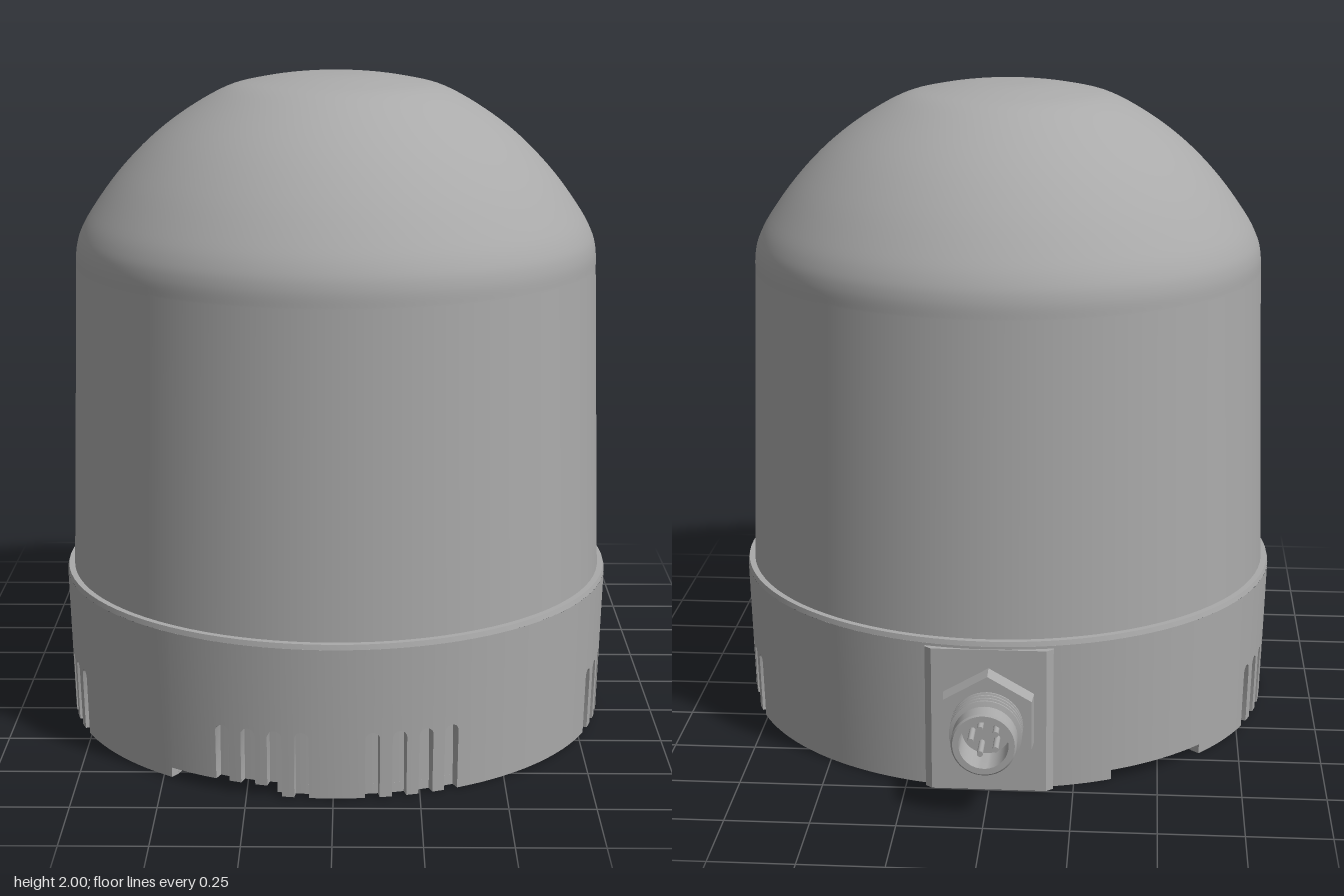
import * as THREE from 'three';
import { toCreasedNormals } from 'three/addons/utils/BufferGeometryUtils.js';

const RAD = Math.PI / 180;
const V2 = (list) => list.map(([x, y]) => new THREE.Vector2(x, y));
const wallRadius = (y) => 0.838 + 0.03 * y;
const INNER = 0.81, FLOOR = 0.03, RIM_Y = 0.455;
const TABS = [-7, 113, 233], TAB_HALF = 11.5;

// Vent slots: two sets of four on the front and both sides
const SLOT_HALF = 1.45;
const slots = [];
for (const side of [0, 90, 180])
  for (const start of [-22.4, 7.7])
    for (let i = 0; i < 4; i++) slots.push(side - start - i * 5.4);

const angleGap = (a, b) => ((a - b + 540) % 360 + 360) % 360 - 180;

// Height of the wall's lower edge at an angle
function lowerEdge(a) {
  let y = TABS.some((t) => Math.abs(angleGap(a, t)) <= TAB_HALF) ? FLOOR : 0;
  for (const s of slots) {
    const u = angleGap(a, s) / SLOT_HALF;
    if (Math.abs(u) <= 1) y = 0.18 + 0.021 * Math.sqrt(1 - u * u);
  }
  return y;
}

// Base wall with open slots and mounting notches, as columns around the axis
function skirtGeometry() {
  const angles = [];
  for (let a = 0; a < 360; a += 2) angles.push(a);
  for (const s of slots) {
    angles.push(s - SLOT_HALF - 0.01, s + SLOT_HALF + 0.01);
    for (let i = 0; i <= 10; i++) angles.push(s - SLOT_HALF * 0.9999 * Math.cos(i * Math.PI / 10));
  }
  for (const t of TABS)
    for (const e of [-1, 1]) angles.push(t + e * (TAB_HALF - 0.005), t + e * (TAB_HALF + 0.005));
  const cols = angles.map((a) => (a + 360) % 360).sort((p, q) => p - q).map((a) => {
    const y = lowerEdge(a), c = Math.cos(a * RAD), s = Math.sin(a * RAD);
    const at = (r, h) => [r * c, h, r * s];
    return { inner: at(INNER, y), low: at(wallRadius(y), y), top: at(wallRadius(RIM_Y), RIM_Y) };
  });
  const pos = [];
  const quad = (a, b, c, d) => pos.push(...a, ...b, ...c, ...a, ...c, ...d);
  cols.forEach((p, i) => {
    const q = cols[(i + 1) % cols.length];
    quad(p.low, p.top, q.top, q.low);
    quad(p.inner, p.low, q.low, q.inner);
  });
  const g = new THREE.BufferGeometry();
  g.setAttribute('position', new THREE.Float32BufferAttribute(pos, 3));
  return toCreasedNormals(g, 0.5);
}

// Underside plate with notches and recesses
function bottomGeometry() {
  const shape = new THREE.Shape();
  TABS.forEach((t, i) => {
    const c = Math.cos(t * RAD), s = Math.sin(t * RAD);
    const at = (r, w) => [r * c - w * s, r * s + w * c];
    const edge = INNER * Math.sin(TAB_HALF * RAD), r0 = INNER * Math.cos(TAB_HALF * RAD);
    if (i === 0) shape.moveTo(...at(r0, -edge));
    shape.lineTo(...at(0.71, -edge));
    shape.lineTo(...at(0.66, -edge + 0.05));
    shape.lineTo(...at(0.66, edge - 0.05));
    shape.lineTo(...at(0.71, edge));
    shape.absarc(0, 0, INNER, (t + TAB_HALF) * RAD, (t + 120 - TAB_HALF) * RAD, false);
  });
  for (const [x, z, r] of [[0, 0, 0.11], [0.45, -0.16, 0.03], [-0.14, 0.5, 0.03]])
    shape.holes.push(new THREE.Path().absarc(x, z, r, 0, Math.PI * 2, true));
  const cut = (points, x, z, turn) => shape.holes.push(new THREE.Path(
    V2(points).map((p) => p.rotateAround(new THREE.Vector2(), turn).add(new THREE.Vector2(x, z)))));
  // rectangular pocket
  cut([[-0.19, -0.14], [0.19, -0.14], [0.19, 0.14], [-0.19, 0.14]], 0.22, 0.42, -0.35);
  // crossed grooves
  const t = 0.5, w = 0.017, L = 0.18, c = Math.cos(t), s = Math.sin(t);
  const half = [[w / s, 0], [L * c + w * s, L * s - w * c], [L * c - w * s, L * s + w * c],
    [0, w / c], [-L * c + w * s, L * s + w * c], [-L * c - w * s, L * s - w * c]];
  cut([...half, ...half.map(([x, y]) => [-x, -y])], -0.57, 0.08, 0);
  return new THREE.ExtrudeGeometry(shape, { depth: FLOOR, bevelEnabled: false, curveSegments: 40 })
    .rotateX(Math.PI / 2).translate(0, FLOOR, 0);
}

export function createModel() {
  const model = new THREE.Group();
  model.name = 'domedSensor';
  const grey = new THREE.MeshStandardMaterial({ color: 0xaaaaaa });
  grey.name = 'grey';
  const add = (parent, name, geometry, x = 0, y = 0, z = 0) => {
    const mesh = new THREE.Mesh(geometry, grey);
    mesh.name = name;
    mesh.position.set(x, y, z);
    parent.add(mesh);
    return mesh;
  };

  const body = new THREE.Group();
  body.name = 'body';
  body.position.z = 0.1;
  model.add(body);

  // Domed cover: tapered wall and rounded cap
  const cap = new THREE.SplineCurve(V2([[0.80, 1.42], [0.798, 1.47], [0.785, 1.52], [0.75, 1.585],
    [0.67, 1.695], [0.57, 1.80], [0.46, 1.885], [0.34, 1.953], [0.24, 1.98], [0.12, 1.997], [0, 2]]));
  add(body, 'cover', new THREE.LatheGeometry([...V2([[0.83, 0.46], [0.815, 0.94]]), ...cap.getPoints(50)], 96));

  // Base
  add(body, 'skirt', skirtGeometry());
  add(body, 'skirtRim', toCreasedNormals(new THREE.LatheGeometry(
    V2([[wallRadius(RIM_Y), RIM_Y], [0.848, 0.47], [0.82, 0.47]]), 96), 0.5));
  add(body, 'slotBacking', new THREE.CylinderGeometry(INNER, INNER, 0.37, 96, 1, true), 0, 0.215, 0);
  add(body, 'recessFloor', new THREE.CircleGeometry(INNER + 0.002, 96).rotateX(Math.PI / 2), 0, FLOOR, 0);
  add(body, 'bottomPlate', bottomGeometry());
  add(body, 'longSeam', new THREE.BoxGeometry(1.3, 0.004, 0.008), -0.06, 0, -0.3);
  add(body, 'shortSeam', new THREE.BoxGeometry(0.008, 0.004, 0.3), -0.71, 0, -0.15);

  // Two mounting studs in each notch
  for (const t of TABS)
    for (const w of [-0.08, 0.08]) {
      const c = Math.cos(t * RAD), s = Math.sin(t * RAD);
      add(body, 'mountingStud', new THREE.CylinderGeometry(0.03, 0.03, 0.02, 20),
        0.74 * c - w * s, FLOOR - 0.008, 0.74 * s + w * c);
    }

  // Flat pad behind the connector, with sloped sides
  const pad = new THREE.Shape(V2([[-0.19, 0.68], [0.19, 0.68], [0.19, 0.738], [0.17, 0.755], [-0.17, 0.755], [-0.19, 0.738]]));
  add(model, 'connectorPad', new THREE.ExtrudeGeometry(pad, { depth: 0.445, bevelEnabled: false })
    .rotateX(-Math.PI / 2), 0, 0.002, 0);

  // Connector, pointing backwards
  const connector = new THREE.Group();
  connector.name = 'connector';
  connector.position.set(0, 0.235, -0.75);
  connector.rotation.x = -Math.PI / 2;
  model.add(connector);
  add(connector, 'hexNut', new THREE.CylinderGeometry(0.15, 0.155, 0.06, 6).toNonIndexed(), 0, 0.03, 0)
    .geometry.computeVertexNormals();
  const profile = [[0.09, 0.05]];
  for (let i = 0; i < 4; i++) {
    const y = 0.062 + i * 0.02;
    profile.push([0.085, y], [0.106, y + 0.006], [0.106, y + 0.011], [0.085, y + 0.017]);
  }
  profile.push([0.085, 0.145], [0.095, 0.147], [0.095, 0.2], [0.09, 0.205], [0.072, 0.205], [0.072, 0.1], [0, 0.1]);
  add(connector, 'threadedSleeve', toCreasedNormals(new THREE.LatheGeometry(V2(profile), 48), 0.5));
  for (let i = 0; i < 5; i++) {
    const a = i * Math.PI * 2 / 5;
    add(connector, 'pin', new THREE.CylinderGeometry(0.009, 0.009, 0.08, 12),
      0.04 * Math.cos(a), 0.14, 0.04 * Math.sin(a));
  }
  return model;
}
